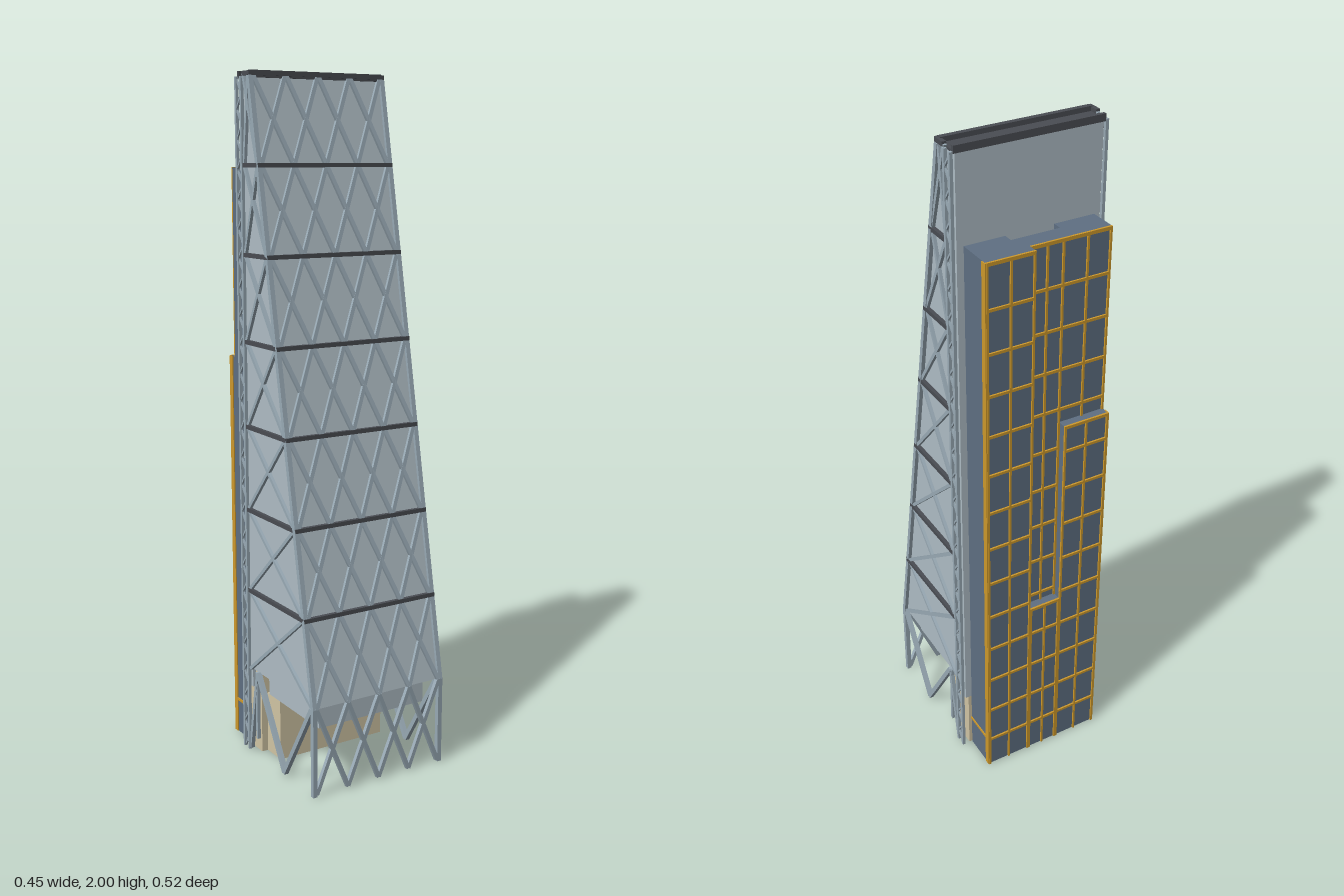
import * as THREE from 'three';

const mat = (name, color) => {
  const m = new THREE.MeshStandardMaterial({ color });
  m.name = name;
  return m;
};

export function createModel() {
  const glass = mat('pale glass', 0xb0bec6);
  const steel = mat('steel', 0x9aabb6);
  const dark = mat('dark band', 0x4a4d53);
  const blue = mat('core cladding', 0x5f7083);
  const gold = mat('gold trim', 0xcf9a2c);
  const stone = mat('lobby stone', 0xd3c7a6);

  const root = new THREE.Group();
  root.name = 'tower';
  const group = (name) => {
    const g = new THREE.Group();
    g.name = name;
    root.add(g);
    return g;
  };
  // Box given by its minimum and maximum on each axis
  const box = (parent, name, m, x0, x1, y0, y1, z0, z1) => {
    const mesh = new THREE.Mesh(new THREE.BoxGeometry(x1 - x0, y1 - y0, z1 - z0), m);
    mesh.position.set((x0 + x1) / 2, (y0 + y1) / 2, (z0 + z1) / 2);
    mesh.name = name;
    parent.add(mesh);
  };
  // Square bar between two points
  const UP = new THREE.Vector3(0, 1, 0);
  const bar = (parent, name, m, a, b, w) => {
    const p = new THREE.Vector3(...a), q = new THREE.Vector3(...b);
    const d = q.clone().sub(p);
    const mesh = new THREE.Mesh(new THREE.BoxGeometry(w, d.length(), w), m);
    mesh.position.copy(p).add(q).multiplyScalar(0.5);
    mesh.quaternion.setFromUnitVectors(UP, d.normalize());
    mesh.name = name;
    parent.add(mesh);
  };
  const shapeOf = (pts) => new THREE.Shape(pts.map((p) => new THREE.Vector2(...p)));
  const extrude = (pts, depth) =>
    new THREE.ExtrudeGeometry(shapeOf(pts), { depth, bevelEnabled: false });

  const levels = [0.26, 0.508, 0.755, 1.003, 1.25, 1.497, 1.745, 1.992];
  const frontZ = (y) => (y < 0.26 ? 0.26 : 0.26 - 0.191 * (y - 0.26));
  const W = 0.212; // half width of the glazed wedge
  const BACK = -0.11;

  // Sloping glazed wedge
  const wedgeGeo = extrude([
    [BACK, 0.26], [frontZ(0.26) - 0.009, 0.26], [frontZ(1.985) - 0.009, 1.985], [BACK, 1.985],
  ], 2 * W);
  wedgeGeo.rotateY(-Math.PI / 2).translate(W, 0, 0);
  const wedge = new THREE.Mesh(wedgeGeo, glass);
  wedge.name = 'glazedWedge';
  root.add(wedge);
  box(root, 'soffit', glass, -0.18, 0.18, 0.185, 0.26, -0.065, 0.22);
  box(root, 'rearWall', glass, -0.21, 0.21, 0.2, 1.985, -0.148, BACK);

  // Roof deck and its two parapets
  const roof = group('roof');
  box(roof, 'roofDeck', dark, -0.213, 0.213, 1.98, 1.987, -0.148, -0.078);
  box(roof, 'rearParapet', dark, -0.215, 0.215, 1.98, 2, -0.15, -0.14);
  box(roof, 'frontParapet', dark, -0.215, 0.215, 1.98, 2, -0.087, -0.072);

  // Diagonal grid on the sloping front, continued as open legs to the ground
  const grid = group('frontDiagrid');
  const ys = [0.006, ...levels];
  const step = 0.105;
  for (let i = 0; i < ys.length - 1; i++) {
    const [a, b] = [ys[i], ys[i + 1]];
    const [za, zb] = [frontZ(a) - 0.006, frontZ(b) - 0.006];
    for (let k = -2; k < 2; k++) {
      const [l, r] = [k * step, (k + 1) * step];
      bar(grid, 'diagonal', steel, [l, a, za], [r, b, zb], 0.012);
      bar(grid, 'diagonal', steel, [r, a, za], [l, b, zb], 0.012);
    }
  }

  // Dark floor bands round the front and sides
  const bands = group('floorBands');
  levels.slice(1).forEach((y) => {
    const z = frontZ(y);
    box(bands, 'frontBand', dark, -0.222, 0.222, y - 0.006, y + 0.006, z - 0.014, z + 0.002);
    for (const s of [-1, 1]) {
      const x = s * 0.217;
      box(bands, 'sideBand', dark, x - 0.006, x + 0.006, y - 0.006, y + 0.006, BACK, z);
    }
  });

  // Side bracing, legs and the slim ladder trusses
  for (const s of [-1, 1]) {
    const side = group(s > 0 ? 'leftSideFrame' : 'rightSideFrame');
    const x = s * 0.216;
    for (let i = 0; i < levels.length - 1; i++) {
      const [a, b] = [levels[i], levels[i + 1]];
      const [za, zb] = [frontZ(a) - 0.01, frontZ(b) - 0.01];
      bar(side, 'brace', steel, [x, a, za], [x, b, BACK], 0.01);
      bar(side, 'brace', steel, [x, a, BACK], [x, b, zb], 0.01);
    }
    bar(side, 'cornerColumn', steel, [x, 0.26, 0.253], [x, 1.985, frontZ(1.985) - 0.007], 0.014);
    bar(side, 'cornerLeg', steel, [x, 0, 0.253], [x, 0.262, 0.253], 0.014);
    bar(side, 'sideLeg', steel, [x, 0.26, 0.245], [x, 0.006, 0.09], 0.014);
    bar(side, 'sideLeg', steel, [x, 0.006, 0.09], [x, 0.26, -0.065], 0.014);
    bar(side, 'innerLeg', steel, [x, 0.26, -0.065], [x, 0.006, -0.112], 0.012);
    bar(side, 'innerPost', steel, [x, 0.05, -0.07], [x, 0.26, -0.07], 0.01);
    const xl = s * 0.22;
    for (const z of [-0.116, -0.145])
      bar(side, 'ladderPost', steel, [xl, 0, z], [xl, 1.985, z], 0.009);
    const n = 48, h = 1.98 / n;
    for (let i = 0; i < n; i++) {
      const [z0, z1] = i % 2 ? [-0.116, -0.145] : [-0.145, -0.116];
      bar(side, 'ladderLacing', steel, [xl, i * h, z0], [xl, (i + 1) * h, z1], 0.005);
    }
  }

  // Lobby
  const lobby = group('lobby');
  box(lobby, 'lobbyHall', stone, -0.18, 0.18, 0, 0.186, -0.14, 0);
  box(lobby, 'lobbyRear', stone, -0.2, 0.2, 0, 0.258, -0.147, -0.076);

  // Service core: notched plan, with two lower projecting bays at the back
  const TOP = 1.738, CX = 0.191;
  const outer = -0.258, inner = -0.232;
  const plan = [
    [-CX, 0.15], [-0.07, 0.15], [-0.07, 0.178], [0.073, 0.178], [0.073, 0.15], [CX, 0.15],
    [CX, -outer], [0.05, -outer], [0.05, -inner], [-CX, -inner],
  ];
  const coreGeo = extrude([...plan].reverse(), TOP);
  coreGeo.rotateX(-Math.PI / 2);
  const core = new THREE.Mesh(coreGeo, blue);
  core.name = 'serviceCore';
  root.add(core);
  const MID = 0.58, TALL = 1.19;
  box(root, 'lowBay', blue, -0.05, 0.05, 0, MID, outer, inner);
  box(root, 'tallBay', blue, -CX, -0.05, 0, TALL, outer, inner);

  // Gold trim over each rear face: [x0, x1, face z, y0, y1, vertical lines]
  const trim = group('goldTrim');
  const faces = [
    [0.05, CX, outer, 0, TOP, [0.053, 0.12, 0.188]],
    [-0.05, 0.05, outer, 0, MID, [-0.047, 0, 0.047]],
    [-0.05, 0.05, inner, MID, TOP, [-0.047, 0]],
    [-CX, -0.05, outer, 0, TALL, [-0.188, -0.12, -0.053]],
    [-CX, -0.05, inner, TALL, TOP, [-0.188, -0.12]],
  ];
  for (const [x0, x1, z, y0, y1, lines] of faces) {
    for (const x of lines)
      box(trim, 'mullion', gold, x - 0.003, x + 0.003, y0, y1, z - 0.005, z + 0.001);
    for (let i = 0; i < 14; i++) {
      const y = 0.108 + i * 0.125;
      if (y > y0 && y < y1)
        box(trim, 'transom', gold, x0, x1, y - 0.004, y + 0.004, z - 0.005, z + 0.001);
    }
    box(trim, 'topRail', gold, x0, x1, y1 - 0.008, y1 + 0.001, z - 0.005, z + 0.001);
  }
  for (const s of [-1, 1]) {
    const [a, b] = s > 0 ? [CX - 0.001, CX + 0.003] : [-CX - 0.003, -CX + 0.001];
    box(trim, 'cornerTrim', gold, a, b, 0, s > 0 ? TOP : TALL, -0.261, -0.243);
    box(trim, 'sideRail', gold, a, b, 0.104, 0.112, -0.26, -0.15);
  }
  return root;
}
